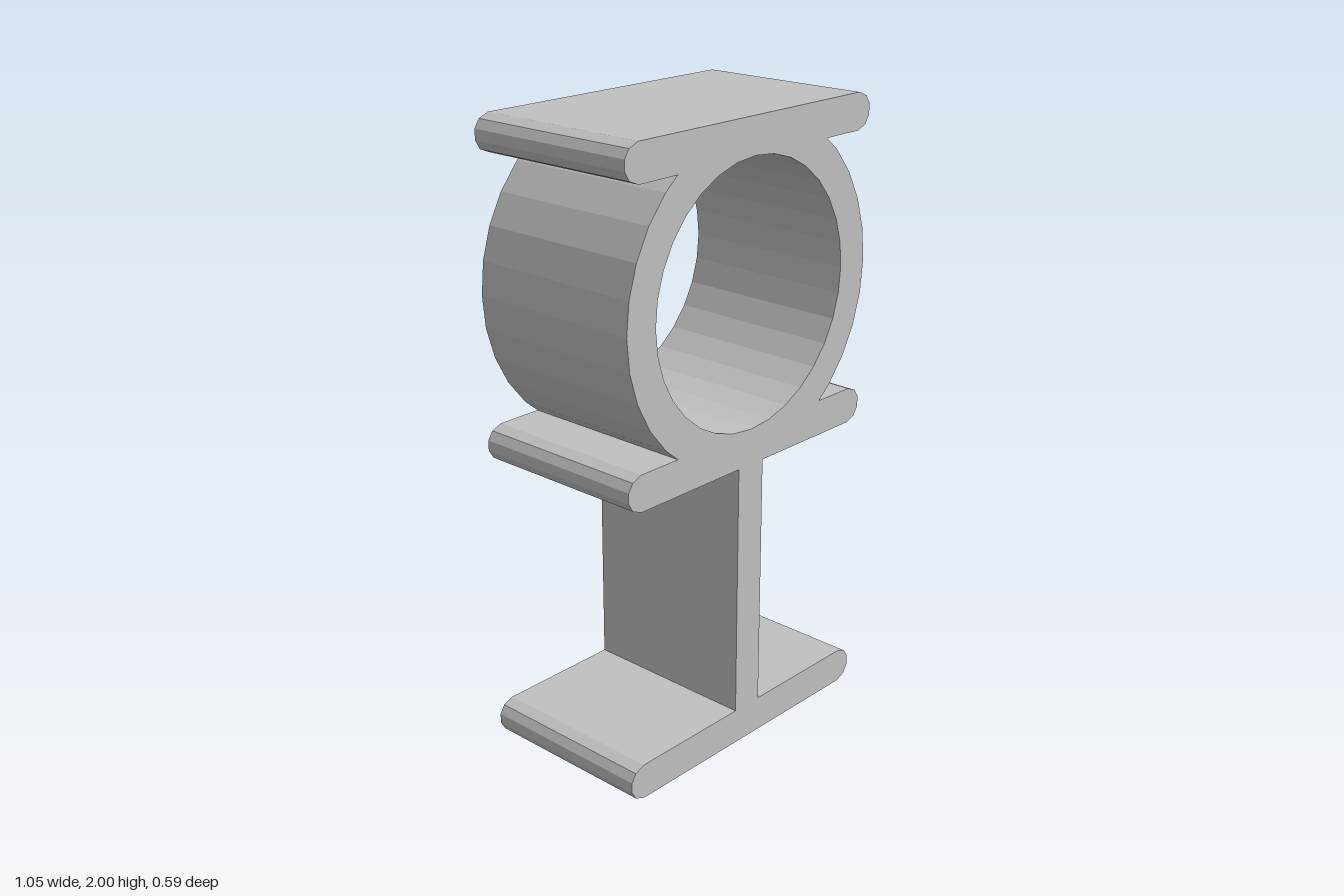
import * as THREE from 'three';

const DEPTH = 0.586;
const RING = { y: 1.473, outer: 0.527, inner: 0.413, sides: 32 };
const THICK = 0.115;      // flange thickness
const STEM = 0.055;       // half width of the web

// Right-hand rounded flange end, from its lower to its upper edge
const flangeEnd = (y0) => [
  [0.475, 0], [0.51, 0.014], [0.527, 0.042],
  [0.527, 0.075], [0.51, 0.101], [0.475, THICK],
].map(([x, y]) => [x, y0 + y]);

export function createModel() {
  const group = new THREE.Group();
  group.name = 'extrudedBracket';
  const grey = new THREE.MeshStandardMaterial({ color: 0xc0c0c0 });
  grey.name = 'light grey';

  const footY = 0, middleY = 0.945, topY = 2 - THICK;

  // Right half of the outline: foot flange, web, middle flange, ring, top flange
  const half = [
    ...flangeEnd(footY),
    [STEM, footY + THICK],
    [STEM, middleY],
    ...flangeEnd(middleY),
    [0.324, middleY + THICK],
  ];
  const step = (Math.PI * 2) / RING.sides;
  for (let i = -4; i <= 4; i++) {
    half.push([RING.outer * Math.cos(i * step), RING.y + RING.outer * Math.sin(i * step)]);
  }
  half.push([0.324, topY], ...flangeEnd(topY));

  // Mirror to the left half and close
  const mirrored = half.map(([x, y]) => [-x, y]).reverse();
  const shape = new THREE.Shape([...half, ...mirrored].map(([x, y]) => new THREE.Vector2(x, y)));

  // Round bore through the ring
  const bore = [];
  for (let i = 0; i < RING.sides; i++) {
    bore.push(new THREE.Vector2(
      RING.inner * Math.cos(i * step), RING.y + RING.inner * Math.sin(i * step)));
  }
  shape.holes.push(new THREE.Path(bore.reverse()));

  // One solid extrusion, faceted along its length
  const geometry = new THREE.ExtrudeGeometry(shape, { depth: DEPTH, bevelEnabled: false });
  geometry.translate(0, 0, -DEPTH / 2);
  const body = new THREE.Mesh(geometry, grey);
  body.name = 'ringAndFlangeProfile';
  group.add(body);
  return group;
}
